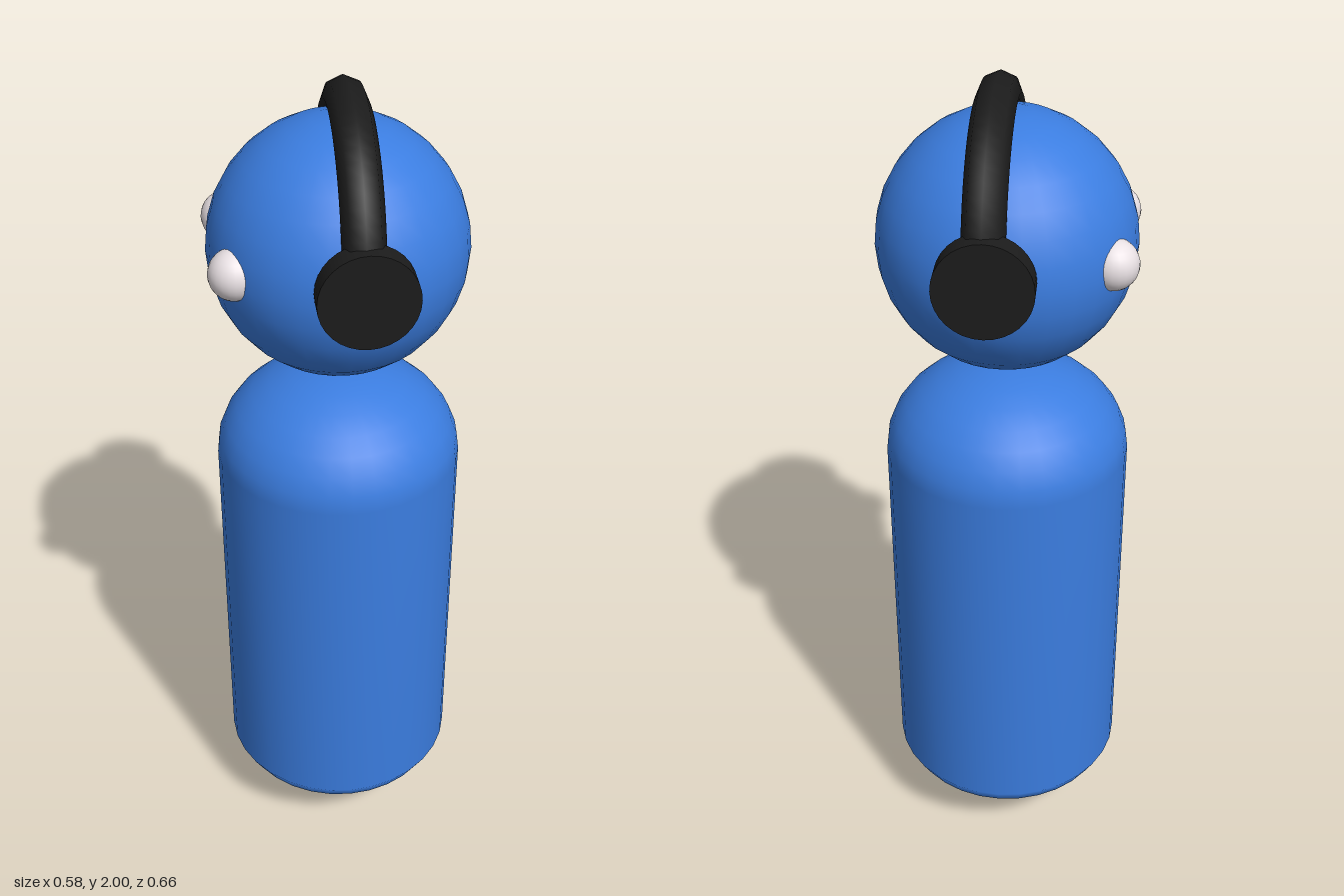
import * as THREE from 'three';

const blue = new THREE.MeshStandardMaterial({ color: 0x3b7de0 });
const black = new THREE.MeshStandardMaterial({ color: 0x1c1c1c });
const white = new THREE.MeshStandardMaterial({ color: 0xe9e1e4 });

export function createModel() {
  const model = new THREE.Group();
  const add = (name, geometry, material, x, y, z) => {
    const mesh = new THREE.Mesh(geometry, material);
    mesh.name = name;
    mesh.position.set(x, y, z);
    model.add(mesh);
    return mesh;
  };

  // Body: a capsule with a domed top and a flatter, tapered base
  const profile = [
    [0, 0], [0.07, 0.012], [0.135, 0.047], [0.185, 0.085], [0.228, 0.122],
    [0.265, 0.16], [0.288, 0.2], [0.288, 1.11],
  ].map(([r, y]) => new THREE.Vector2(r, y));
  for (let i = 1; i <= 8; i++) {
    const a = (i / 8) * Math.PI / 2;
    profile.push(new THREE.Vector2(i === 8 ? 0 : 0.288 * Math.cos(a), 1.11 + 0.218 * Math.sin(a)));
  }
  add('body', new THREE.LatheGeometry(profile, 32), blue, 0, 0, 0);

  // Head floating just above the body
  add('head', new THREE.SphereGeometry(0.291, 32, 16), blue, 0, 1.643, 0);

  // Headband: half ring over the head, its ends buried in the ear cups
  const band = add('headband', new THREE.TorusGeometry(0.284, 0.046, 8, 32, Math.PI), black, 0.023, 1.67, 0);
  band.rotation.y = Math.PI / 2 - 0.012;

  // Ear cups and eyes, one on each side
  for (const [side, s] of [['left', -1], ['right', 1]]) {
    const cup = add(side + 'EarCup', new THREE.CylinderGeometry(0.107, 0.107, 0.054, 32), black, 0.023, 1.675, s * 0.305);
    cup.rotation.x = Math.PI / 2;
    add(side + 'Eye', new THREE.SphereGeometry(0.057, 24, 16), white, -0.236, 1.655, s * 0.138);
  }

  return model;
}
